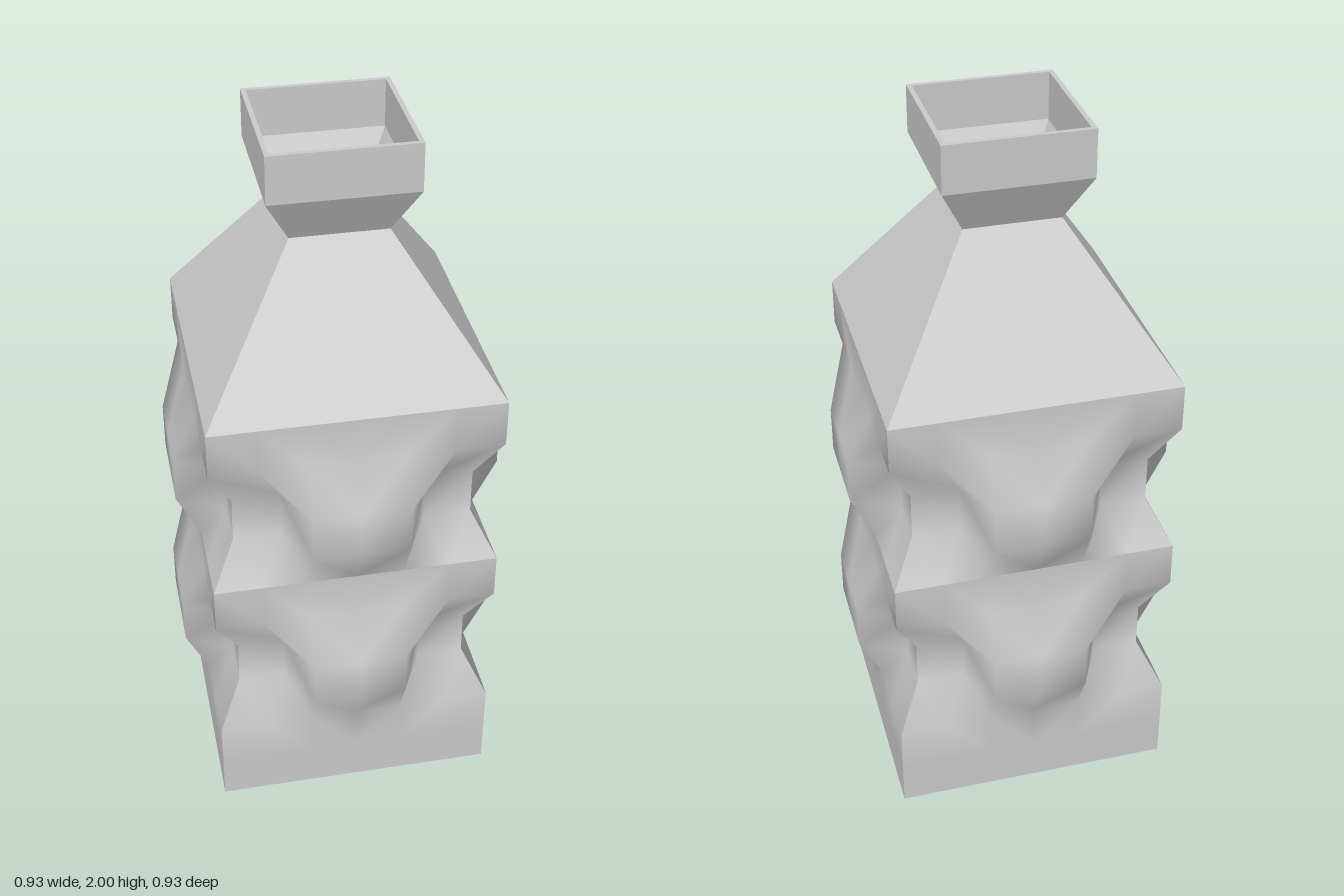
import * as THREE from 'three';

const U = 2 / 15;      // grid unit: the bottle is 15 units tall and 6 wide
const D = U / 2;       // depth of bulges and dents
const BULGED_ROWS = [3, 4, 7, 8];
// [x, z] of each grid column in a bulged row: raised middle, groove, dented corner
const BULGED_COLUMNS = [[0, 3 * U + D], [U, 3 * U + D], [1.5 * U, 3 * U - D], [3 * U - D, 3 * U - D]];

const material = new THREE.MeshStandardMaterial({ color: 0xcccccc });

// Right half of one wall section, between two grid rows
function halfPanel(row0, row1) {
  const geo = new THREE.PlaneGeometry(3 * U, (row1 - row0) * U, 3, row1 - row0);
  geo.translate(1.5 * U, (row0 + row1) * U / 2, 3 * U);
  const pos = geo.attributes.position;
  for (let i = 0; i < pos.count; i++) {
    if (!BULGED_ROWS.includes(Math.round(pos.getY(i) / U))) continue;
    const [x, z] = BULGED_COLUMNS[Math.round(pos.getX(i) / U)];
    pos.setX(i, x);
    pos.setZ(i, z);
  }
  geo.computeVertexNormals();
  return geo;
}

// Square loft from [half width, y] pairs, flat shaded
function squareLoft(profile) {
  const points = profile.map(([half, y]) => new THREE.Vector2(half * Math.SQRT2, y));
  const geo = new THREE.LatheGeometry(points, 4, Math.PI / 4).toNonIndexed();
  geo.computeVertexNormals();
  return geo;
}

function addMesh(parent, name, geo) {
  const mesh = new THREE.Mesh(geo, material);
  mesh.name = name;
  parent.add(mesh);
  return mesh;
}

export function createModel() {
  const bottle = new THREE.Group();
  bottle.name = 'bottle';

  // Four sides, each with a lower and an upper wall section in mirrored halves
  const lower = halfPanel(0, 6);
  const upper = halfPanel(6, 10);
  for (let i = 0; i < 4; i++) {
    const side = new THREE.Group();
    side.name = 'side' + (i + 1);
    side.rotation.y = i * Math.PI / 2;
    for (const mirror of [1, -1]) {
      addMesh(side, 'lowerWall', lower).scale.x = mirror;
      addMesh(side, 'upperWall', upper).scale.x = mirror;
    }
    bottle.add(side);
  }

  // Underside
  addMesh(bottle, 'base', new THREE.PlaneGeometry(6 * U, 6 * U).rotateX(Math.PI / 2));

  // Shoulder, neck and flared mouth
  addMesh(bottle, 'shoulderAndMouth', squareLoft([
    [3 * U, 10 * U], [U, 13 * U], [1.5 * U, 14 * U], [1.5 * U, 15 * U],
    [1.4 * U, 15 * U], [1.4 * U, 14 * U], [0.9 * U, 13 * U],
  ]));

  // Hollow inside, down to the floor
  addMesh(bottle, 'interior', squareLoft([
    [0.9 * U, 13 * U], [0.32, 1.42], [0.32, 0.02], [0, 0.02],
  ]));

  return bottle;
}
